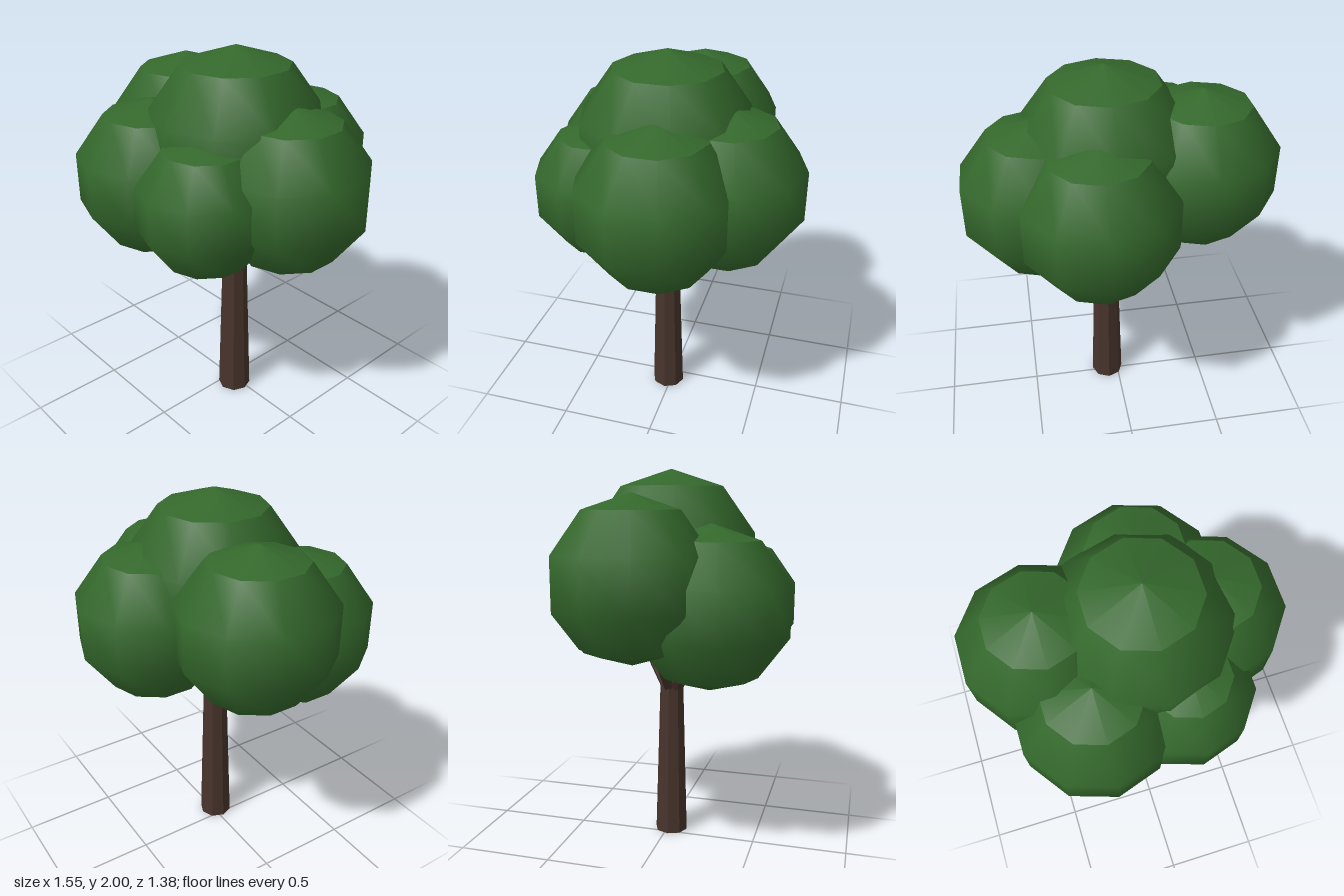
import * as THREE from 'three';
import { mergeGeometries } from 'three/addons/utils/BufferGeometryUtils.js';

const SIDES = 10;
const RINGS = 5;

// Ten-sided ball: smooth body, with a crease around the top and bottom caps
function blobGeometry(radius) {
  const p = [];
  for (let i = 0; i <= RINGS; i++) {
    const a = (i / RINGS) * Math.PI;
    p.push(new THREE.Vector2(Math.max(0, radius * Math.sin(a)), -radius * Math.cos(a)));
  }
  return mergeGeometries([
    new THREE.LatheGeometry(p.slice(0, 2), SIDES),
    new THREE.LatheGeometry(p.slice(1, 5), SIDES),
    new THREE.LatheGeometry(p.slice(4, 6), SIDES),
  ]);
}

// Tapered faceted log between two points
function log(name, from, to, r0, r1, sides, material) {
  const dir = to.clone().sub(from);
  const geometry = new THREE.CylinderGeometry(r1, r0, dir.length(), sides).toNonIndexed();
  geometry.computeVertexNormals();
  const mesh = new THREE.Mesh(geometry, material);
  mesh.name = name;
  mesh.position.copy(from).add(to).multiplyScalar(0.5);
  mesh.quaternion.setFromUnitVectors(new THREE.Vector3(0, 1, 0), dir.normalize());
  return mesh;
}

export function createModel() {
  const bark = new THREE.MeshStandardMaterial({ color: 0x48342c });
  bark.name = 'bark brown';
  const leaf = new THREE.MeshStandardMaterial({ color: 0x34682c });
  leaf.name = 'leaf green';

  const tree = new THREE.Group();
  tree.name = 'tree';

  // Trunk
  const fork = new THREE.Vector3(0.06, 0.86, 0.02);
  tree.add(log('trunk', new THREE.Vector3(0.06, 0, 0.02), fork, 0.09, 0.065, 8, bark));

  // Foliage: name, x, y, z, radius
  const blobs = [
    ['topFoliage', 0.06, 1.532, 0.015, 0.468],
    ['rightFoliage', -0.405, 1.463, -0.053, 0.412],
    ['leftFoliage', 0.397, 1.355, -0.03, 0.418],
    ['frontRightFoliage', -0.25, 1.322, 0.3, 0.41],
    ['frontLeftFoliage', 0.19, 1.305, 0.323, 0.354],
    ['backFoliage', 0.135, 1.36, -0.302, 0.413],
  ];
  for (const [name, x, y, z, radius] of blobs) {
    const blob = new THREE.Mesh(blobGeometry(radius), leaf);
    blob.name = name;
    blob.position.set(x, y, z);
    tree.add(blob);

    // Branch from the fork into each outer ball of leaves
    if (name === 'topFoliage') continue;
    const target = new THREE.Vector3(x, y, z);
    const out = new THREE.Vector3(x - fork.x, 0, z - fork.z).setLength(0.03);
    const start = fork.clone().add(out).setY(0.84);
    const end = start.clone().lerp(target, 0.75);
    tree.add(log(name.replace('Foliage', 'Branch'), start, end, 0.035, 0.025, 6, bark));
  }

  return tree;
}
